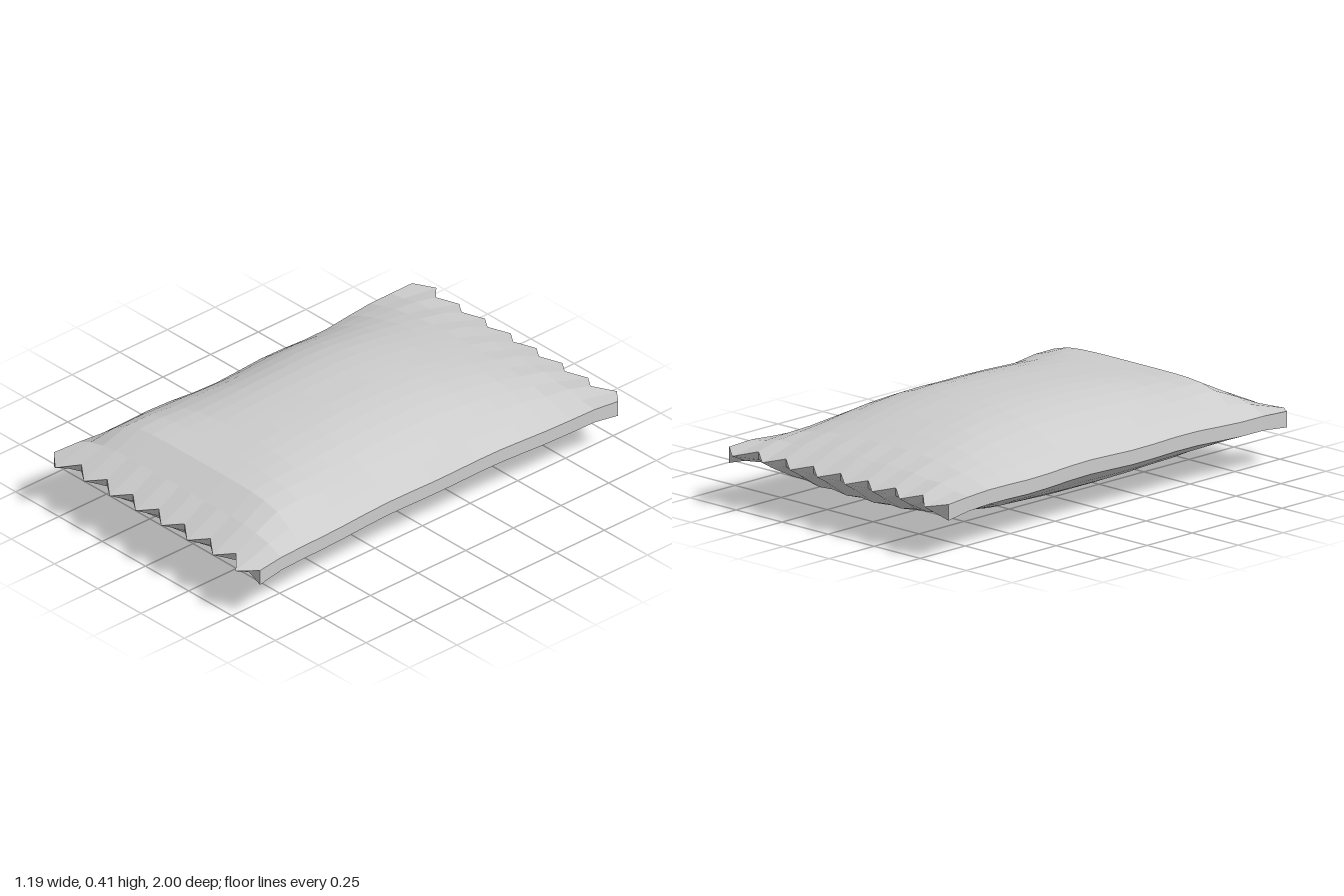
import * as THREE from 'three';

const N = 16;          // columns and rows of the panel grid
const END = 0.94;      // half length at the end seams

// Fullness of each panel along the length, as [z, fraction of full height]
const TOP_FULL = [[-0.94, 0], [-0.82, 0.26], [-0.7, 0.46], [-0.59, 0.62], [-0.47, 0.77], [-0.35, 0.88],
  [-0.23, 0.96], [-0.1, 1], [0.12, 0.98], [0.35, 0.9], [0.59, 0.76], [0.705, 0.69], [0.94, 0]];
const BOTTOM_FULL = [[-0.94, 0], [-0.82, 0.36], [-0.7, 0.6], [-0.47, 0.85], [-0.23, 0.96], [-0.1, 1],
  [0.23, 0.97], [0.47, 0.87], [0.7, 0.62], [0.82, 0.4], [0.94, 0]];

function sample(table, z) {
  for (let k = 1; k < table.length; k++) {
    const [z0, a] = table[k - 1], [z1, b] = table[k];
    if (z <= z1 + 1e-6) return a + (b - a) * (z - z0) / (z1 - z0);
  }
  return 0;
}

// Point on the zigzag end row: the top layer forms the teeth, the bottom stays behind them
function endPoint(top, i, x, side) {
  const tip = i % 2 === 1;
  if (i === 0 || i === N) return new THREE.Vector3(x, top ? 0.228 : 0.163, side * END);
  if (!top) return new THREE.Vector3(x, tip ? 0.184 : 0.204, side * 0.93);
  const reach = i === 1 || i === N - 1 ? 1 : 0.985;
  return new THREE.Vector3(x, tip ? 0.216 : 0.235, side * (tip ? reach : 0.93));
}

// Point of the top or bottom panel at column i and row j
function panelPoint(top, i, j) {
  const u = i / N * 2 - 1, v = j / N * 2 - 1, z = v * END;
  const halfWidth = 0.56 + 0.036 * v * v;
  if (j === 0 || j === N) return endPoint(top, i, u * halfWidth, Math.sign(v));

  const wobble = 0.005 * Math.sin(j * 1.3 + u);
  const x = u * (halfWidth + wobble * 0.5);
  const bow = Math.abs(u);
  let y;
  if (top) {
    // The front shoulder is squarer, but stays under the belly's outline
    const square = THREE.MathUtils.smoothstep(z, 0.4, 0.71) * 2.8;
    const across = 1 - Math.pow(bow, 2.65 + square);
    const limit = 1 - Math.pow(Math.min(1, Math.abs(x) / 0.58), 2.65);
    y = 0.232 + wobble * (1 - across) + 0.178 * Math.min(limit, across * sample(TOP_FULL, z));
  } else {
    const across = 1 - Math.pow(bow, 2.45);
    y = 0.174 + wobble * (1 - across) - 0.171 * across * sample(BOTTOM_FULL, z);
  }

  // Creases running in from the end seams
  const creased = j === 1 || (j === N - 1 && !top);
  if (creased && bow < 0.95) y += (i % 2 ? -1 : 1) * 0.004;
  return new THREE.Vector3(x, y, z);
}

const T = (i, j) => panelPoint(true, i, j);
const B = (i, j) => panelPoint(false, i, j);

// Faceted mesh from four-cornered faces, each shaded evenly across its two triangles
function quadMesh(name, quads) {
  const points = [], normals = [];
  for (const [a, b, c, d] of quads) {
    const n = c.clone().sub(a).cross(d.clone().sub(b)).normalize();
    points.push(a, b, c, a, c, d);
    for (let k = 0; k < 6; k++) normals.push(n.x, n.y, n.z);
  }
  const geometry = new THREE.BufferGeometry().setFromPoints(points);
  geometry.setAttribute('normal', new THREE.Float32BufferAttribute(normals, 3));
  const mesh = new THREE.Mesh(geometry, new THREE.MeshStandardMaterial({
    color: 0xcccccc, side: THREE.DoubleSide,
  }));
  mesh.name = name;
  return mesh;
}

export function createModel() {
  const top = [], bottom = [], left = [], right = [], front = [], back = [];
  for (let i = 0; i < N; i++) {
    for (let j = 0; j < N; j++) {
      top.push([T(i, j), T(i, j + 1), T(i + 1, j + 1), T(i + 1, j)]);
      bottom.push([B(i, j), B(i + 1, j), B(i + 1, j + 1), B(i, j + 1)]);
    }
    // Narrow strips joining the two panels around the rim
    left.push([B(N, i), T(N, i), T(N, i + 1), B(N, i + 1)]);
    right.push([B(0, i), B(0, i + 1), T(0, i + 1), T(0, i)]);
    front.push([B(i, N), B(i + 1, N), T(i + 1, N), T(i, N)]);
    back.push([B(i, 0), T(i, 0), T(i + 1, 0), B(i + 1, 0)]);
  }

  const bag = new THREE.Group();
  bag.name = 'pillowBag';
  bag.add(
    quadMesh('topPanel', top),
    quadMesh('bottomPanel', bottom),
    quadMesh('leftSeam', left),
    quadMesh('rightSeam', right),
    quadMesh('frontZigzagSeam', front),
    quadMesh('backZigzagSeam', back),
  );
  return bag;
}
